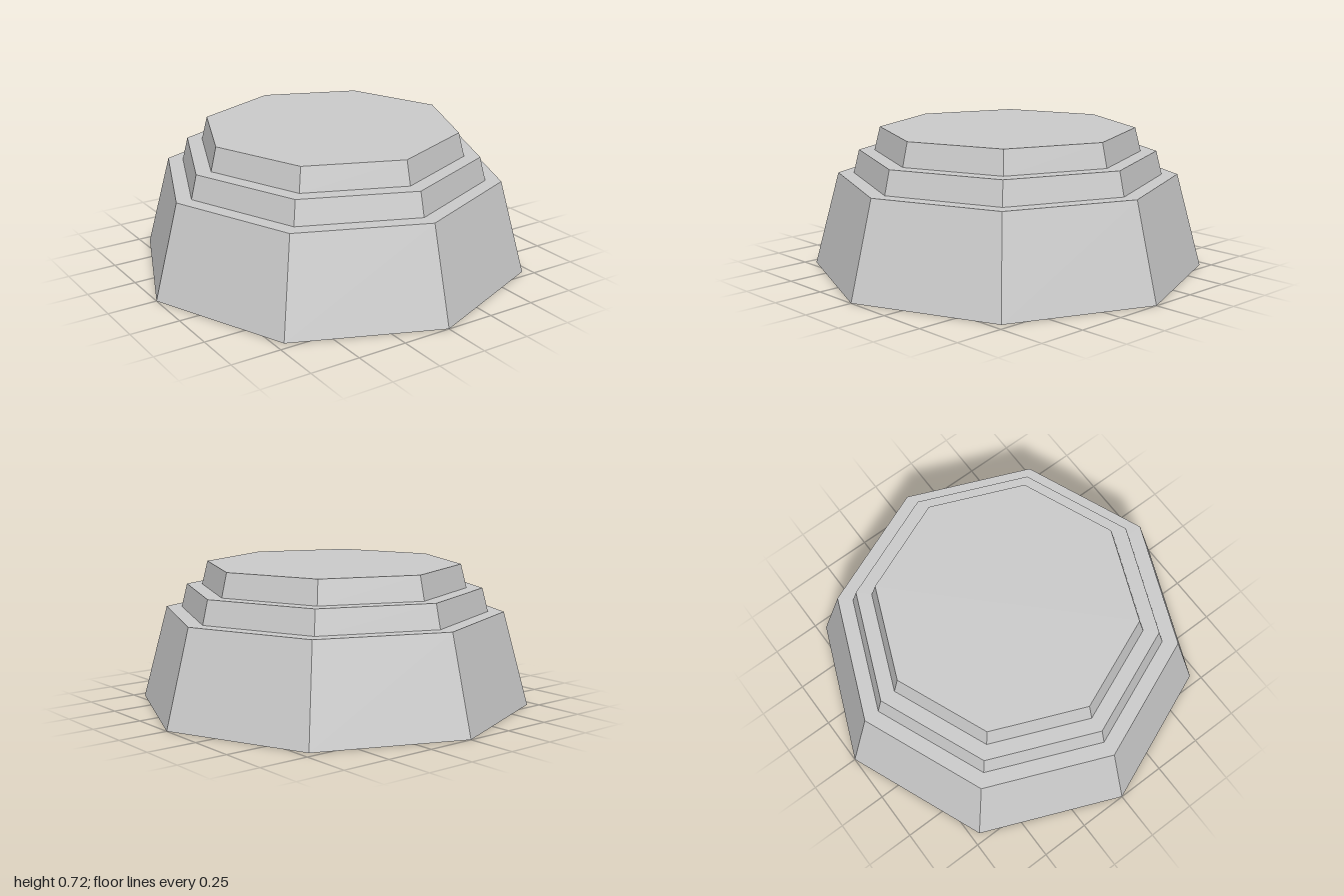
import * as THREE from 'three';

const SIDES = 8;

// Stacked octagonal tiers, bottom to top
const TIERS = [
  { name: 'baseTier', bottom: 1.0, top: 0.87, y0: 0, y1: 0.48 },
  { name: 'middleTier', bottom: 0.79, top: 0.76, y0: 0.48, y1: 0.6 },
  { name: 'topTier', bottom: 0.68, top: 0.65, y0: 0.6, y1: 0.72 },
];

export function createModel() {
  const group = new THREE.Group();
  group.name = 'steppedPedestal';

  const stone = new THREE.MeshStandardMaterial({ color: 0xcccccc, flatShading: true });
  stone.name = 'light grey stone';

  // Each tier is a tapered octagon with corners on the x and z axes
  for (const { name, bottom, top, y0, y1 } of TIERS) {
    const geometry = new THREE.CylinderGeometry(top, bottom, y1 - y0, SIDES);
    const tier = new THREE.Mesh(geometry, stone);
    tier.name = name;
    tier.position.y = (y0 + y1) / 2;
    group.add(tier);
  }

  return group;
}
